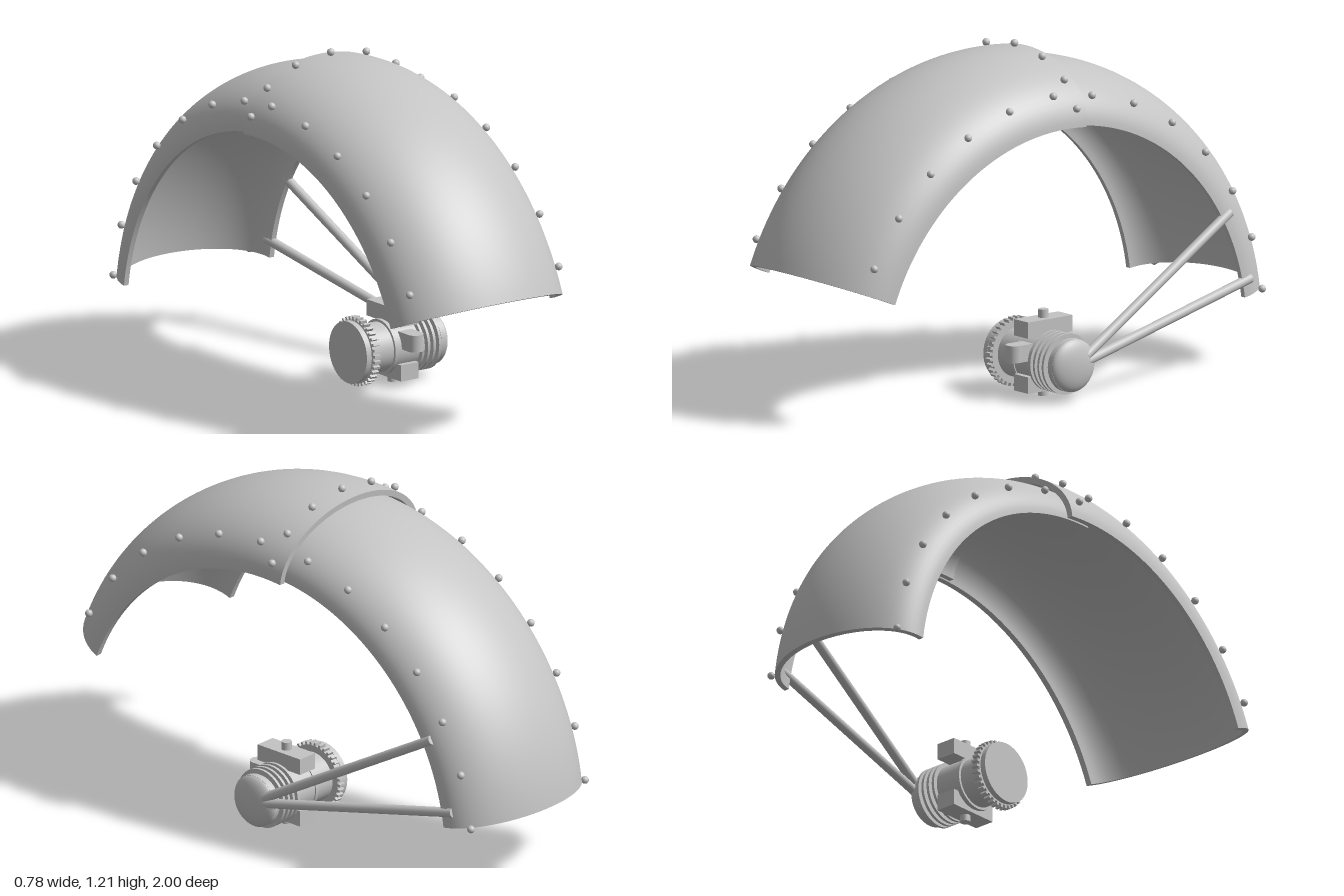
import * as THREE from 'three';
import { toCreasedNormals } from 'three/addons/utils/BufferGeometryUtils.js';

// Wheel centre, shared by the shells and the hub
const CX = -0.0275, CY = 0.131, CZ = 0.02, BASE = 0.83;
const rad = THREE.MathUtils.degToRad;

// Point on an arched section: angle runs front to back, t across the arch
function archPoint(angle, t, a, h) {
  const r = BASE + h * Math.sin(t);
  return new THREE.Vector3(CX + a * Math.cos(t), CY + r * Math.sin(angle), CZ + r * Math.cos(angle));
}

// Curved shell swept round the wheel from a hollow half-ellipse section
function shellGeometry(from, to, a, h, thick) {
  const n = 36, m = 48, ring = 2 * (n + 1), pos = [], idx = [];
  for (let i = 0; i <= m; i++) {
    const angle = rad(from + (to - from) * i / m);
    for (let j = 0; j < ring; j++) {
      const outer = j <= n, t = Math.PI * (outer ? j : ring - 1 - j) / n, d = outer ? 0 : thick;
      pos.push(...archPoint(angle, t, a - d, h - d).toArray());
    }
  }
  for (let i = 0; i < m; i++) {
    for (let j = 0; j < ring; j++) {
      const k = (j + 1) % ring, p = i * ring, q = p + ring;
      idx.push(p + j, q + j, q + k, p + j, q + k, p + k);
    }
  }
  // End faces
  const e = m * ring;
  for (let j = 0; j < n; j++) {
    const u = ring - 1 - j, v = u - 1;
    idx.push(j, j + 1, u, j + 1, v, u);
    idx.push(e + j, e + u, e + j + 1, e + j + 1, e + u, e + v);
  }
  const g = new THREE.BufferGeometry();
  g.setAttribute('position', new THREE.Float32BufferAttribute(pos, 3));
  g.setIndex(idx);
  return toCreasedNormals(g, 0.6);
}

// Toothed wheel outline
function gearShape(teeth, inner, outer) {
  const s = new THREE.Shape();
  for (let i = 0; i < teeth; i++) {
    [[0, inner], [0.5, inner], [0.55, outer], [0.95, outer]].forEach(([f, r], k) => {
      const a = (i + f) / teeth * Math.PI * 2;
      s[i + k === 0 ? 'moveTo' : 'lineTo'](r * Math.cos(a), r * Math.sin(a));
    });
  }
  s.closePath();
  return s;
}

export function createModel() {
  const model = new THREE.Group();
  model.name = 'mudguardAndHub';
  const grey = new THREE.MeshStandardMaterial({ color: 0xc4c4c4 });
  grey.name = 'lightGrey';

  const add = (parent, name, geo, x = 0, y = 0, z = 0) => {
    const mesh = new THREE.Mesh(geo, grey);
    mesh.name = name;
    mesh.position.set(x, y, z);
    parent.add(mesh);
    return mesh;
  };

  // Overlapping mudguard shells
  const front = { a: 0.353, h: 0.228 }, rear = { a: 0.3225, h: 0.2 };
  add(model, 'frontShell', shellGeometry(22.2, 96, front.a, front.h, 0.022));
  add(model, 'rearShell', shellGeometry(88, 171.9, rear.a, rear.h, 0.02));

  // Rivets along both edges and across the seam
  const rivets = new THREE.Group();
  rivets.name = 'rivets';
  model.add(rivets);
  const rivetGeo = new THREE.SphereGeometry(0.0135, 16, 12);
  const rivet = (shell, angle, t) => {
    const p = archPoint(rad(angle), rad(t), shell.a + 0.012, shell.h + 0.012);
    add(rivets, 'rivet', rivetGeo, p.x, p.y, p.z);
  };
  for (const t of [28.8, 151.2]) {
    for (let k = 0; k < 6; k++) rivet(front, 28 + 12 * k, t);
    for (let k = 0; k < 7; k++) rivet(rear, 100 + 12 * k, t);
  }
  for (let k = -3; k <= 3; k++) rivet(front, 93, 90 + 24.6 * k);

  // Hub, lying along x
  const hub = new THREE.Group();
  hub.name = 'hub';
  hub.position.set(0, CY, CZ);
  model.add(hub);
  const disc = (name, x0, x1, r) =>
    add(hub, name, new THREE.CylinderGeometry(r, r, x1 - x0, 48).rotateZ(-Math.PI / 2), (x0 + x1) / 2);
  disc('endDisc', 0.005, 0.026, 0.11);
  disc('barrel', 0.02, 0.345, 0.088);
  disc('innerFlange', 0.138, 0.152, 0.097);
  disc('clampBand', 0.152, 0.245, 0.093);
  for (let k = 0; k < 4; k++) disc('coolingFin', 0.246 + 0.024 * k, 0.256 + 0.024 * k, 0.107);
  disc('capRim', 0.338, 0.36, 0.094);
  const gear = new THREE.ExtrudeGeometry(gearShape(36, 0.112, 0.123), { depth: 0.027, bevelEnabled: false });
  add(hub, 'toothedRing', gear.rotateY(Math.PI / 2), 0.03);

  // Domed cap
  const dome = [];
  for (let k = 0; k <= 10; k++) {
    const a = k / 10 * Math.PI / 2;
    dome.push(new THREE.Vector2(k === 10 ? 0 : 0.094 * Math.cos(a), 0.356 + 0.034 * Math.sin(a)));
  }
  add(hub, 'domedCap', new THREE.LatheGeometry(dome, 48).rotateZ(-Math.PI / 2));

  // Clamp blocks with studs above and below, and a round lug in front
  for (const s of [1, -1]) {
    add(hub, 'clampBlock', new THREE.BoxGeometry(0.077, 0.058, 0.198), 0.197, s * 0.116 - (s < 0 ? -0.042 : 0) * 0.9, 0);
    add(hub, 'clampStud', new THREE.CylinderGeometry(0.018, 0.018, 0.06, 24), 0.196, s > 0 ? 0.144 : -0.101, 0);
  }
  add(hub, 'frontLug', new THREE.CylinderGeometry(0.03, 0.03, 0.06, 24), 0.197, 0.035, 0.13);
  add(hub, 'lugBase', new THREE.BoxGeometry(0.058, 0.06, 0.06), 0.197, 0.035, 0.1);

  // Struts from the cap to the rear shell
  const strut = (name, a, b) => {
    const path = new THREE.LineCurve3(new THREE.Vector3(...a), new THREE.Vector3(...b));
    const mesh = add(model, name, new THREE.CylinderGeometry(0.017, 0.017, path.getLength(), 20));
    mesh.position.copy(path.getPoint(0.5));
    mesh.quaternion.setFromUnitVectors(new THREE.Vector3(0, 1, 0), path.getTangent(0));
  };
  strut('upperStrut', [0.367, 0.16, -0.03], [0.287, 0.557, -0.74]);
  strut('lowerStrut', [0.367, 0.14, -0.03], [0.283, 0.31, -0.835]);

  return model;
}
